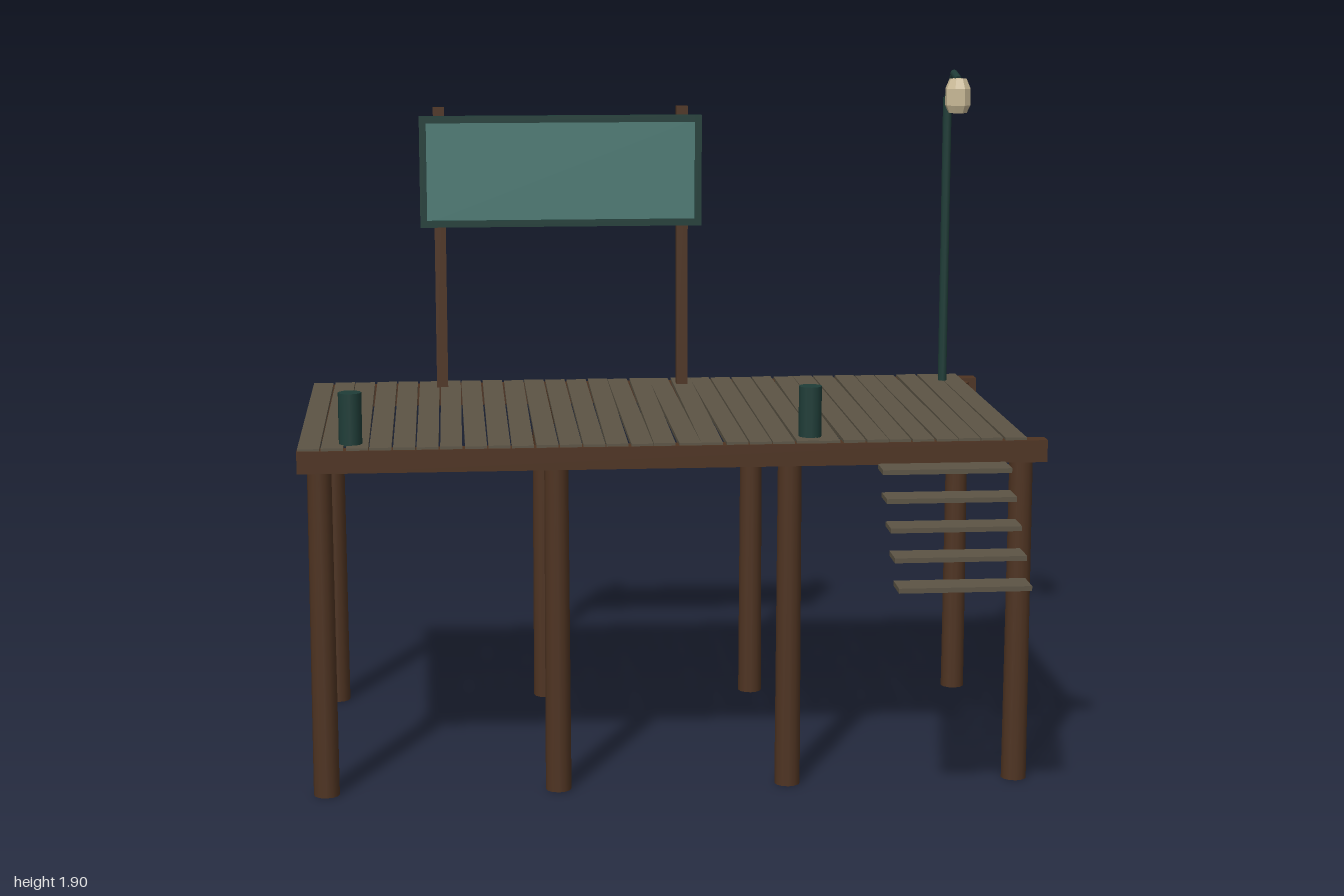
import * as THREE from 'three';

const mat = (name, color) => {
  const m = new THREE.MeshStandardMaterial({ color });
  m.name = name;
  return m;
};

export function createModel() {
  const model = new THREE.Group();
  model.name = 'pier';
  const timber = mat('brown timber', 0x4e3321);
  const boards = mat('weathered boards', 0x5c5445);
  const iron = mat('dark green iron', 0x1f3d38);
  const teal = mat('teal panel', 0x4c7a74);
  const glass = mat('cream lantern', 0xcbbb98);

  const add = (name, geo, material, x, y, z, parent = model) => {
    const mesh = new THREE.Mesh(geo, material);
    mesh.name = name;
    mesh.position.set(x, y, z);
    parent.add(mesh);
    return mesh;
  };
  const box = (name, w, h, d, material, x, y, z, parent) =>
    add(name, new THREE.BoxGeometry(w, h, d), material, x, y, z, parent);

  // seeded variation for the boards
  let seed = 11;
  const rand = () => {
    seed = (seed * 16807) % 2147483647;
    return seed / 2147483647 - 0.5;
  };

  // piles and the two long beams
  const pileGeo = new THREE.CylinderGeometry(0.032, 0.035, 0.95, 12);
  for (const x of [-0.944, -0.316, 0.311, 0.941])
    for (const z of [0.275, -0.638]) add('pile', pileGeo, timber, x, 0.475, z);
  box('frontBeam', 2, 0.06, 0.046, timber, 0, 0.928, 0.311);
  box('backBeam', 2, 0.06, 0.046, timber, 0, 0.928, -0.678);

  // deck boards, each a little out of true
  const deck = new THREE.Group();
  deck.name = 'deck';
  model.add(deck);
  for (let i = 0; i < 31; i++) {
    const end = i === 0 || i === 30;
    const plank = box('deckBoard', 0.058, 0.012, 1.025, boards, -0.969 + i * 0.0628, 0.959 + rand() * 0.002, -0.184, deck);
    plank.rotation.y = end ? 0 : rand() * 0.012;
  }

  // floating stair treads
  for (let i = 0; i < 5; i++)
    box('stairTread', 0.345, 0.013, 0.087, boards, 0.711, 0.645 + i * 0.063, 0.665 - i * 0.0688);

  // mooring bollards
  const bollardGeo = new THREE.CylinderGeometry(0.031, 0.031, 0.14, 12);
  for (const x of [-0.86, 0.367]) add('bollard', bollardGeo, iron, x, 1.032, 0.26);

  // sign board on two posts
  const sign = new THREE.Group();
  sign.name = 'signBoard';
  model.add(sign);
  for (const x of [-0.615, 0.097]) box('signPost', 0.033, 0.83, 0.033, timber, x, 1.375, -0.602, sign);
  box('signBacking', 0.80, 0.31, 0.01, iron, -0.26, 1.603, -0.58, sign);
  box('signPanel', 0.79, 0.30, 0.004, teal, -0.26, 1.603, -0.573, sign);
  for (const y of [1.452, 1.756]) box('signFrameRail', 0.825, 0.02, 0.022, iron, -0.26, y, -0.576, sign);
  for (const s of [-1, 1]) box('signFrameStile', 0.02, 0.324, 0.022, iron, -0.26 + s * 0.4025, 1.604, -0.576, sign);

  // lamp: pole, bent arm and lantern
  const lamp = new THREE.Group();
  lamp.name = 'lamp';
  lamp.position.x = 0.882;
  model.add(lamp);
  const rod = (name, a, b, r) => {
    const from = new THREE.Vector3(0, ...a), to = new THREE.Vector3(0, ...b);
    const dir = to.clone().sub(from);
    const m = add(name, new THREE.CylinderGeometry(r, r, dir.length(), 8), iron, 0, 0, 0, lamp);
    m.position.copy(from).add(to).multiplyScalar(0.5);
    m.quaternion.setFromUnitVectors(new THREE.Vector3(0, 1, 0), dir.normalize());
  };
  rod('lampPole', [0.955, -0.584], [1.812, -0.584], 0.013);
  rod('lampArm', [1.805, -0.588], [1.886, -0.485], 0.011);
  rod('lampArmTip', [1.888, -0.491], [1.874, -0.422], 0.011);
  // eight-sided lantern, one flat face per side and band
  const profile = [[0, 1.778], [0.027, 1.778], [0.037, 1.80], [0.037, 1.848], [0.025, 1.876], [0, 1.878]]
    .map(([r, y]) => new THREE.Vector2(r, y));
  const lanternGeo = new THREE.LatheGeometry(profile, 8, Math.PI / 8).toNonIndexed();
  lanternGeo.computeVertexNormals();
  add('lantern', lanternGeo, glass, 0, 0, -0.423, lamp);

  return model;
}
